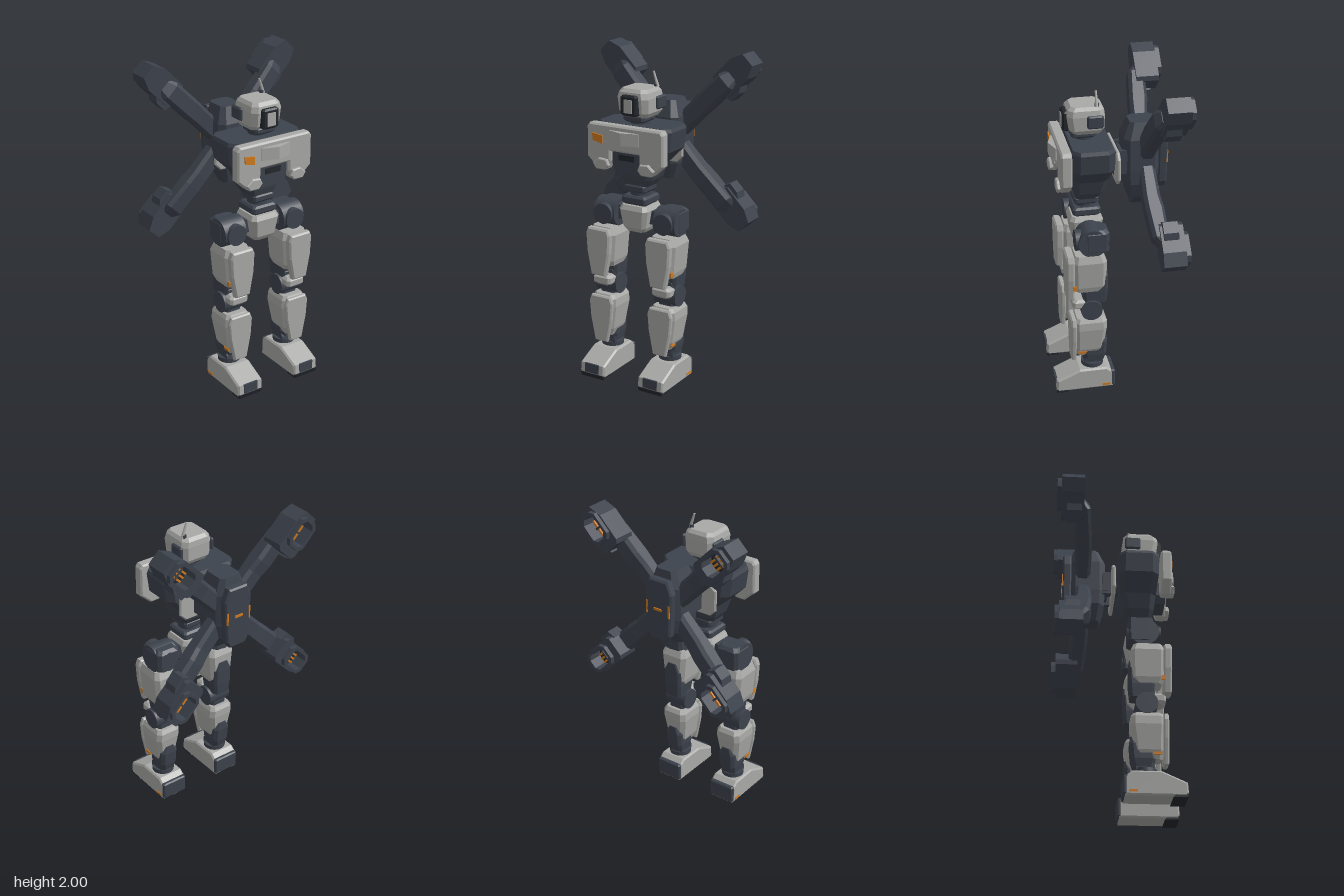
import * as THREE from 'three';

const mat = (name, color) => {
  const m = new THREE.MeshStandardMaterial({ color });
  m.name = name;
  return m;
};

export function createModel() {
  const light = mat('light grey armour', 0xa9a9a7);
  const dark = mat('dark slate frame', 0x3d434d);
  const black = mat('near black trim', 0x23272d);
  const orange = mat('orange marking', 0xd07a1e);
  const model = new THREE.Group();

  const add = (parent, name, geo, material, x = 0, y = 0, z = 0) => {
    const mesh = new THREE.Mesh(geo, material);
    mesh.name = name;
    mesh.position.set(x, y, z);
    parent.add(mesh);
    return mesh;
  };
  const group = (name) => {
    const g = new THREE.Group();
    g.name = name;
    model.add(g);
    return g;
  };

  // Faceted solid through chamfered rectangles: [y, half width, zBack, zFront, chamfer]
  const loft = (sections) => {
    const rings = sections.map(([y, w, b, f, c]) => [
      [w, f - c], [w, b + c], [w - c, b], [c - w, b],
      [-w, b + c], [-w, f - c], [c - w, f], [w - c, f],
    ].map(([x, z]) => [x, y, z]));
    const pos = [];
    const tri = (...p) => p.forEach((v) => pos.push(...v));
    for (let i = 0; i + 1 < rings.length; i++) {
      for (let k = 0; k < 8; k++) {
        const n = (k + 1) % 8, lo = rings[i], hi = rings[i + 1];
        tri(lo[k], lo[n], hi[n]);
        tri(lo[k], hi[n], hi[k]);
      }
    }
    const bottom = rings[0], top = rings[rings.length - 1];
    for (let k = 1; k < 7; k++) {
      tri(top[0], top[k], top[k + 1]);
      tri(bottom[0], bottom[k + 1], bottom[k]);
    }
    const geo = new THREE.BufferGeometry();
    geo.setAttribute('position', new THREE.Float32BufferAttribute(pos, 3));
    geo.computeVertexNormals();
    return geo;
  };

  // Outlines in the xy plane, extruded between two depths
  const outline = (pts) => new THREE.Shape(pts.map(([x, y]) => new THREE.Vector2(x, y)));
  const mirrored = (half) => [...half, ...half.map(([x, y]) => [-x, y]).reverse()];
  const plate = (pts, z0, z1, bevel = 0, hole = null) => {
    const shape = outline(pts);
    if (hole) shape.holes.push(new THREE.Path(hole.map(([x, y]) => new THREE.Vector2(x, y))));
    const geo = new THREE.ExtrudeGeometry(shape, {
      depth: z1 - z0 - 2 * bevel, bevelEnabled: bevel > 0, bevelSegments: 1,
      bevelSize: bevel, bevelThickness: bevel, bevelOffset: -bevel,
    });
    return geo.translate(0, 0, z0 + bevel);
  };
  // Side profile given as [z, y], extruded across x
  const profile = (pts, width, bevel = 0.01) =>
    plate(pts, -width / 2, width / 2, bevel).rotateY(-Math.PI / 2);
  const box = (w, h, d) => new THREE.BoxGeometry(w, h, d);
  const block = (w, y0, y1, z0, z1, c = 0.015) => loft([
    [y0, w - c, z0 + c, z1 - c, c], [y0 + c, w, z0, z1, c],
    [y1 - c, w, z0, z1, c], [y1, w - c, z0 + c, z1 - c, c],
  ]);
  const cyl = (r, len, axis = 'y') => {
    const geo = new THREE.CylinderGeometry(r, r, len, 24);
    if (axis === 'x') geo.rotateZ(Math.PI / 2);
    if (axis === 'z') geo.rotateX(Math.PI / 2);
    return geo;
  };

  // Legs
  for (const s of [-1, 1]) {
    const leg = group(s > 0 ? 'leftLeg' : 'rightLeg');
    leg.position.x = s * 0.212;
    add(leg, 'foot', profile([[0.03, 0.01], [0.38, 0.01], [0.39, 0.03], [0.385, 0.09],
      [0.24, 0.155], [0.07, 0.155], [0.03, 0.12]], 0.178), light);
    add(leg, 'heel', block(0.087, 0.015, 0.13, 0.018, 0.1, 0.008), dark);
    add(leg, 'toeSole', profile([[0.3, 0], [0.385, 0], [0.394, 0.028], [0.32, 0.028]], 0.17, 0.004), black);
    add(leg, 'toePanel', box(0.1, 0.06, 0.012), dark, 0, 0.062, 0.386);
    add(leg, 'heelMark', box(0.006, 0.014, 0.05), orange, s * 0.089, 0.034, 0.075);
    add(leg, 'ankleCollar', cyl(0.07, 0.035), dark, 0, 0.165, 0.15);
    add(leg, 'ankle', cyl(0.055, 0.1, 'x'), dark, 0, 0.185, 0.15);
    add(leg, 'calf', loft([[0.19, 0.05, 0.08, 0.2, 0.02], [0.24, 0.058, 0.066, 0.21, 0.02],
      [0.33, 0.06, 0.06, 0.2, 0.02], [0.38, 0.04, 0.065, 0.2, 0.02]]), dark);
    add(leg, 'shin', loft([[0.24, 0.045, 0.12, 0.25, 0.02], [0.29, 0.066, 0.085, 0.262, 0.025],
      [0.44, 0.087, 0.065, 0.265, 0.025], [0.49, 0.084, 0.065, 0.265, 0.025],
      [0.515, 0.07, 0.08, 0.25, 0.02]]), light);
    add(leg, 'shinPlate', plate(mirrored([[0.045, 0.21], [0.075, 0.36], [0.084, 0.47], [0.068, 0.512]]),
      0.255, 0.287, 0.008), light);
    add(leg, 'shinMark', box(0.008, 0.016, 0.05), orange, s * 0.062, 0.27, 0.22);
    add(leg, 'kneeJoint', cyl(0.066, 0.152, 'x'), dark, 0, 0.575, 0.16);
    add(leg, 'kneeStrut', block(0.055, 0.5, 0.68, 0.1, 0.21), dark);
    add(leg, 'kneeCap', block(0.064, 0.58, 0.645, 0.19, 0.275, 0.016), light);
    add(leg, 'thighCore', loft([[0.62, 0.058, 0.065, 0.2, 0.015], [0.7, 0.064, 0.058, 0.21, 0.015],
      [0.8, 0.064, 0.056, 0.21, 0.015], [0.86, 0.04, 0.06, 0.2, 0.015]]), dark);
    add(leg, 'thigh', loft([[0.705, 0.066, 0.1, 0.25, 0.02], [0.74, 0.077, 0.068, 0.268, 0.025],
      [0.91, 0.092, 0.065, 0.27, 0.025], [0.955, 0.076, 0.085, 0.255, 0.02]]), light);
    add(leg, 'thighPlate', plate(mirrored([[0.05, 0.655], [0.078, 0.8], [0.085, 0.92], [0.07, 0.957]]),
      0.262, 0.312, 0.01), light);
    add(leg, 'thighMark', box(0.008, 0.03, 0.024), orange, s * 0.07, 0.738, 0.258);
    add(leg, 'hipJoint', cyl(0.087, 0.15, 'x'), dark, 0, 1.035, 0.15);
    add(leg, 'hipBlock', block(0.078, 0.96, 1.115, 0.05, 0.2, 0.02), dark);
    add(leg, 'hipDisc', cyl(0.064, 0.2, 'z'), dark, 0, 1.035, 0.15);
  }

  // Pelvis and waist
  const waist = group('waist');
  add(waist, 'hipAxle', box(0.32, 0.085, 0.09), dark, 0, 1.045, 0.14);
  add(waist, 'pelvis', loft([[0.95, 0.062, 0.09, 0.22, 0.02], [0.98, 0.08, 0.07, 0.24, 0.02],
    [1.09, 0.1, 0.05, 0.255, 0.025], [1.118, 0.085, 0.06, 0.24, 0.02]]), light);
  add(waist, 'waistBase', block(0.086, 1.12, 1.175, 0.065, 0.235, 0.012), dark);
  add(waist, 'waistRing', cyl(0.062, 0.09), dark, 0, 1.195, 0.15);
  add(waist, 'waistTop', block(0.074, 1.195, 1.245, 0.075, 0.225, 0.012), dark);

  // Torso and chest armour
  const torso = group('torso');
  add(torso, 'body', loft([[1.235, 0.08, 0.08, 0.215, 0.02], [1.28, 0.11, 0.045, 0.228, 0.03],
    [1.37, 0.14, 0.02, 0.24, 0.035], [1.47, 0.238, 0.002, 0.252, 0.04],
    [1.59, 0.255, 0, 0.256, 0.045], [1.612, 0.245, 0.01, 0.25, 0.04]]), dark);
  add(torso, 'chestPlate', plate(mirrored([[0.1, 1.46], [0.1, 1.4], [0.125, 1.347], [0.19, 1.345],
    [0.262, 1.41], [0.262, 1.595], [0.245, 1.617]]), 0.262, 0.328, 0.01), light);
  const wedge = plate([[-0.1, 0.32], [0.1, 0.32], [0.1, 0.335], [0, 0.367], [-0.1, 0.335]], -0.038, 0.038);
  add(torso, 'chestWedge', wedge.rotateX(Math.PI / 2), light, 0, 1.55);
  add(torso, 'chestCavity', plate(mirrored([[0.08, 1.33], [0.1, 1.38], [0.1, 1.465]]), 0.22, 0.3), dark);
  add(torso, 'chestSlot', box(0.11, 0.035, 0.012), black, 0, 1.425, 0.3);
  for (const s of [-1, 1]) {
    const pts = [[0.1, 1.375], [0.125, 1.347], [0.19, 1.347], [0.212, 1.38], [0.17, 1.415], [0.115, 1.41]];
    add(torso, 'lowerChestPlate', plate(pts.map(([x, y]) => [s * x, y]), 0.32, 0.348, 0.006), light);
  }
  add(torso, 'chestMark', plate([[-0.22, 1.56], [-0.215, 1.515], [-0.15, 1.5], [-0.15, 1.55]], 0.328, 0.336), orange);
  add(torso, 'backPlate', plate(mirrored([[0.15, 1.35], [0.19, 1.39], [0.19, 1.52], [0.15, 1.555]]),
    -0.037, -0.014, 0.007), light);

  // Head
  const head = group('head');
  add(head, 'neck', cyl(0.06, 0.07), dark, 0, 1.63, 0.15);
  add(head, 'jaw', block(0.07, 1.625, 1.67, 0.085, 0.235, 0.012), dark);
  add(head, 'helmet', loft([[1.655, 0.08, 0.06, 0.22, 0.02], [1.685, 0.102, 0.04, 0.25, 0.03],
    [1.77, 0.106, 0.038, 0.262, 0.03], [1.805, 0.098, 0.042, 0.255, 0.03],
    [1.825, 0.082, 0.06, 0.235, 0.025]]), light);
  add(head, 'visorFrame', block(0.056, 1.672, 1.793, 0.225, 0.285, 0.01), black);
  add(head, 'visor', box(0.056, 0.08, 0.008), light, 0, 1.73, 0.285);
  for (const s of [-1, 1]) {
    add(head, 'earPanel', block(0.012, 1.7, 1.778, 0.05, 0.148, 0.008), dark, s * 0.111);
  }
  add(head, 'antennaBase', cyl(0.014, 0.03), dark, 0.07, 1.825, 0.085);
  const antenna = add(head, 'antenna', new THREE.CylinderGeometry(0.006, 0.01, 0.095, 10), light, 0.067, 1.868, 0.087);
  antenna.rotation.z = 0.32;

  // Backpack
  const pack = group('backpack');
  add(pack, 'packMount', box(0.19, 0.11, 0.035), dark, 0, 1.46, -0.075);
  for (const s of [-1, 1]) add(pack, 'mountStrut', box(0.025, 0.15, 0.08), dark, s * 0.08, 1.46, -0.05);
  add(pack, 'mountShaft', cyl(0.045, 0.14, 'z'), dark, 0, 1.46, -0.03);
  add(pack, 'packBody', loft([[1.21, 0.06, -0.2, -0.11, 0.02], [1.31, 0.1, -0.28, -0.08, 0.035],
    [1.4, 0.106, -0.295, -0.075, 0.035], [1.6, 0.106, -0.295, -0.075, 0.035],
    [1.7, 0.07, -0.275, -0.115, 0.025]]), dark);
  add(pack, 'packPanel', plate(mirrored([[0.055, 1.27], [0.08, 1.31], [0.096, 1.58], [0.065, 1.66]]),
    -0.34, -0.285, 0.01), dark);
  add(pack, 'packBar', box(0.055, 0.014, 0.009), orange, 0, 1.475, -0.342);
  for (const s of [-1, 1]) add(pack, 'packStripe', box(0.009, 0.08, 0.012), orange, s * 0.079, 1.475, -0.338);

  // Four booms carrying thruster pods; each is built along +y, then turned into place
  const octagon = (w, h, c) => mirrored([[w - c, 0.6 - h], [w, 0.6 - h + c], [w, 0.6 + h - c], [w - c, 0.6 + h]]);
  const podOutline = mirrored([[0.06, 0.452], [0.08, 0.475], [0.08, 0.64], [0.046, 0.72]]);
  const opening = octagon(0.052, 0.075, 0.025);
  for (const sx of [-1, 1]) for (const sy of [-1, 1]) {
    const boom = group(`${sy > 0 ? 'upper' : 'lower'}${sx > 0 ? 'Left' : 'Right'}Boom`);
    boom.position.y = 1.455;
    boom.rotation.z = -sx * THREE.MathUtils.degToRad(sy > 0 ? 44.4 : 135.6);
    add(boom, 'boomArm', loft([[0.04, 0.06, -0.26, -0.17, 0.02], [0.27, 0.06, -0.267, -0.165, 0.02],
      [0.35, 0.063, -0.28, -0.168, 0.02], [0.53, 0.063, -0.285, -0.185, 0.02],
      [0.575, 0.045, -0.28, -0.222, 0.015]]), dark);
    add(boom, 'podBase', plate(podOutline, -0.3, -0.225), dark);
    add(boom, 'podShell', plate(podOutline, -0.365, -0.3, 0, opening), dark);
    add(boom, 'nozzleRim', plate(octagon(0.07, 0.095, 0.03), -0.392, -0.362, 0, opening), dark);
    const t = sx * sy;
    add(boom, 'podFin', plate([[0.05, 0.44], [0.105, 0.46], [0.105, 0.53], [0.07, 0.58]].map(([x, y]) => [t * x, y]),
      -0.33, -0.24), dark);
    add(boom, 'nozzleFloor', plate(octagon(0.05, 0.073, 0.024), -0.304, -0.299), black);
    for (const i of [-1, 0, 1]) {
      add(boom, 'nozzleGlow', box(0.012, 0.1, 0.03), orange, i * 0.026, 0.6, -0.318);
    }
    add(boom, 'nozzleCrossbar', box(0.08, 0.012, 0.03), dark, 0, 0.6, -0.322);
  }

  return model;
}
